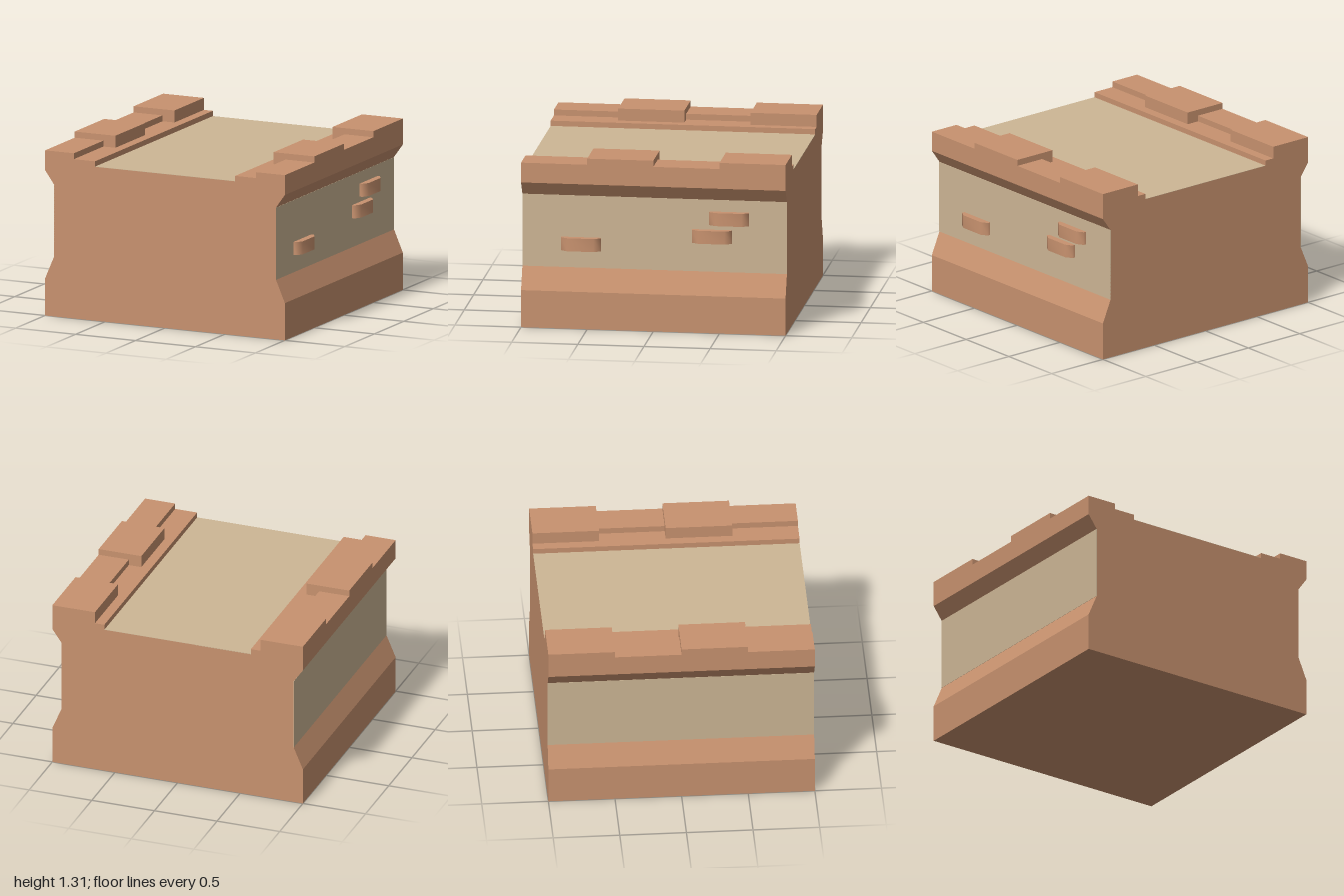
import * as THREE from 'three';
import { toCreasedNormals } from 'three/addons/utils/BufferGeometryUtils.js';

const brick = new THREE.MeshStandardMaterial({ color: 0xc8926f });
brick.name = 'terracotta brick';
const sand = new THREE.MeshStandardMaterial({ color: 0xcdb695 });
sand.name = 'sand plaster';

function addBox(parent, name, material, min, max) {
  const size = max.map((v, i) => v - min[i]);
  const mesh = new THREE.Mesh(new THREE.BoxGeometry(...size), material);
  mesh.position.set(...min.map((v, i) => v + size[i] / 2));
  mesh.name = name;
  parent.add(mesh);
  return mesh;
}

export function createModel() {
  const model = new THREE.Group();
  model.name = 'wallSegment';

  // Wall body: mirrored cross-section with flared base, cornice and walkway
  const half = [
    [1, 0], [1, 0.285], [0.926, 0.457], [0.926, 1.01], [1, 1.113],
    [1, 1.22], [0.585, 1.22], [0.585, 1.178],
  ];
  const outline = [...half, ...half.map(([x, y]) => [-x, y]).reverse()];
  const profile = new THREE.Shape(outline.map(([x, y]) => new THREE.Vector2(x, y)));
  const bodyGeometry = new THREE.ExtrudeGeometry(profile, { depth: 2, bevelEnabled: false });
  bodyGeometry.translate(0, 0, -1);
  const body = new THREE.Mesh(bodyGeometry, brick);
  body.name = 'wallBody';
  model.add(body);

  // Plastered walkway floor
  addBox(model, 'walkwayFloor', sand, [-0.584, 1.176, -1], [0.584, 1.18, 1]);

  for (const side of [1, -1]) {
    const label = side > 0 ? 'left' : 'right';
    const span = (a, b) => (side > 0 ? [a, b] : [-b, -a]);

    // Plastered side panel between base and cornice
    const [p0, p1] = span(0.924, 0.928);
    addBox(model, `${label}SidePanel`, sand, [p0, 0.457, -1], [p1, 1.01, 1]);

    // Parapet: tall wide blocks alternating with low narrow ones
    const parapet = new THREE.Group();
    parapet.name = `${label}Parapet`;
    for (let i = 0; i < 4; i++) {
      const tall = i % 2 === 0;
      const z = -1 + i * 0.5;
      const [x0, x1] = span(tall ? 0.66 : 0.76, 1);
      addBox(parapet, tall ? 'tallBlock' : 'lowBlock', brick,
        [x0, 1.22, z], [x1, tall ? 1.312 : 1.265, z + 0.5]);
    }
    model.add(parapet);
  }

  // Exposed bricks with softened ends, on one side wall only
  const brickShape = new THREE.Shape([
    [0.92, -0.15], [0.95, -0.15], [0.98, -0.1],
    [0.98, 0.1], [0.95, 0.15], [0.92, 0.15],
  ].map(([x, z]) => new THREE.Vector2(x, z)));
  let brickGeometry = new THREE.ExtrudeGeometry(brickShape, { depth: 0.1, bevelEnabled: false });
  brickGeometry.rotateX(-Math.PI / 2);
  brickGeometry = toCreasedNormals(brickGeometry, 1.1);
  for (const [y, z] of [[0.59, 0.555], [0.68, -0.435], [0.82, -0.565]]) {
    const mesh = new THREE.Mesh(brickGeometry, brick);
    mesh.position.set(0, y, z);
    mesh.name = 'exposedBrick';
    model.add(mesh);
  }

  return model;
}
